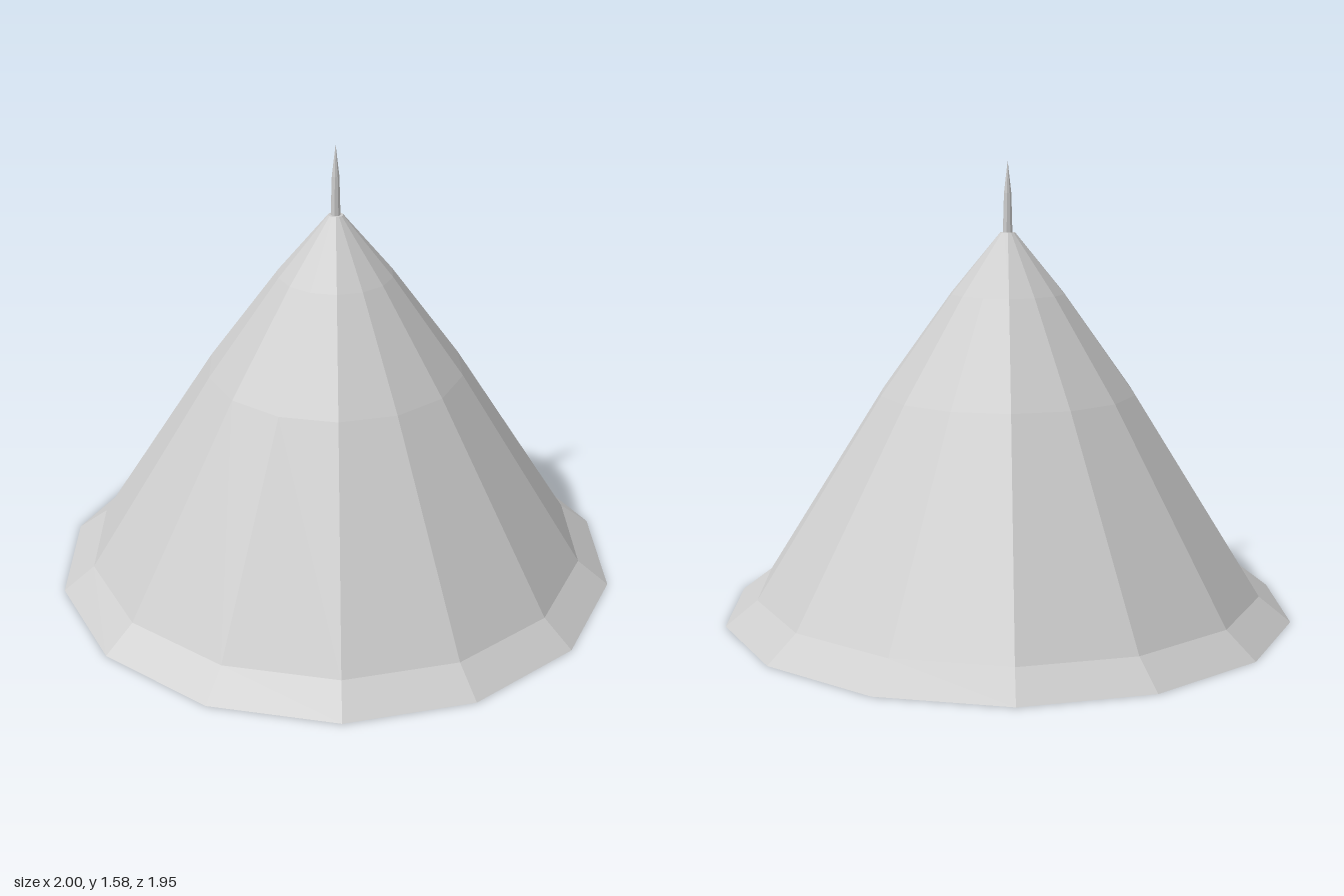
import * as THREE from 'three';

// Faceted surface of revolution with a corner on the x axis
function faceted(name, profile, sides) {
  const points = profile.map(([r, y]) => new THREE.Vector2(r, y));
  const geometry = new THREE.LatheGeometry(points, sides, Math.PI / 2);
  const material = new THREE.MeshStandardMaterial({
    color: 0xcccccc, flatShading: true, side: THREE.DoubleSide,
  });
  const mesh = new THREE.Mesh(geometry, material);
  mesh.name = name;
  return mesh;
}

export function createModel() {
  const group = new THREE.Group();
  group.name = 'conicalRoof';

  // Hollow canopy, open below: flared eave, long slope, bulging shoulder, small flat top
  group.add(faceted('canopy', [
    [1, 0], [0.89, 0.085], [0.45, 0.78], [0.2, 1.125], [0.026, 1.335], [0, 1.335],
  ], 14));

  // Slender pointed spike on the peak
  group.add(faceted('spike', [
    [0.017, 1.33], [0.013, 1.47], [0, 1.58],
  ], 8));

  return group;
}
